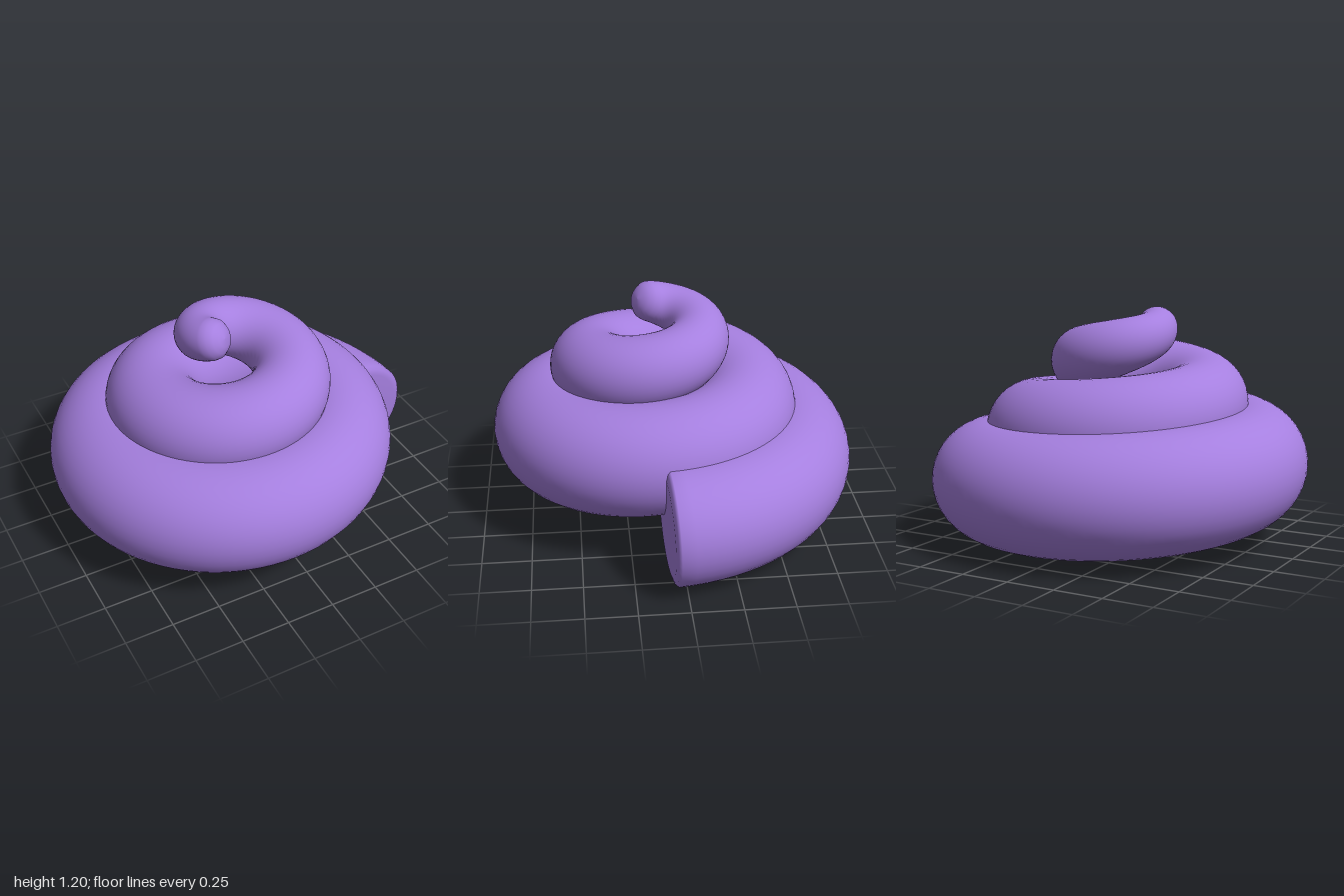
import * as THREE from 'three';

// Coil profile at each quarter turn: distance from the axis, height, tube radius
const QUARTERS = [
  [0.77, 0.30, 0.30], [0.705, 0.335, 0.30], [0.63, 0.40, 0.30], [0.575, 0.46, 0.29],
  [0.51, 0.53, 0.28], [0.445, 0.61, 0.26], [0.385, 0.70, 0.235], [0.345, 0.80, 0.21],
  [0.27, 0.90, 0.18], [0.20, 1.0, 0.145], [0.14, 1.085, 0.11], [0.09, 1.17, 0.09],
];
const AXIS_X = -0.07, AXIS_Z = 0.065;
const END = 10.2; // length of the coil in quarter turns
const STEPS = 220, SIDES = 40;

const profile = new THREE.CatmullRomCurve3(
  QUARTERS.map((p) => new THREE.Vector3(...p)), false, 'catmullrom', 0.5);

function sample(q) {
  const p = profile.getPoint(q / (QUARTERS.length - 1));
  const a = q * Math.PI / 2;
  return {
    centre: new THREE.Vector3(AXIS_X + p.x * Math.cos(a), p.y, AXIS_Z - p.x * Math.sin(a)),
    radius: p.z,
  };
}

function coilGeometry() {
  // Rings: position along the coil, push along the tangent, radius scale
  const rings = [[0, -0.025, 0.001], [0, -0.024, 0.45], [0, -0.022, 0.85], [0, -0.014, 0.95]];
  for (let i = 0; i <= STEPS; i++) rings.push([END * i / STEPS, 0, 1]);
  rings.push([END, 0.03, 0.92], [END, 0.055, 0.7], [END, 0.07, 0.4], [END, 0.075, 0.001]);

  const up = new THREE.Vector3(0, 1, 0);
  const positions = [], index = [];
  rings.forEach(([q, push, scale], i) => {
    const { centre, radius } = sample(q);
    const q0 = Math.max(0, q - 0.01);
    const tangent = sample(q0 + 0.02).centre.sub(sample(q0).centre).normalize();
    const side = new THREE.Vector3().crossVectors(tangent, up).normalize();
    const top = new THREE.Vector3().crossVectors(side, tangent);
    centre.addScaledVector(tangent, push);
    for (let j = 0; j < SIDES; j++) {
      const a = j / SIDES * Math.PI * 2;
      const v = centre.clone()
        .addScaledVector(side, Math.cos(a) * radius * scale)
        .addScaledVector(top, Math.sin(a) * radius * scale);
      positions.push(v.x, v.y, v.z);
      if (i < rings.length - 1) {
        const k = (j + 1) % SIDES, a0 = i * SIDES, b0 = a0 + SIDES;
        index.push(a0 + j, b0 + j, a0 + k, b0 + j, b0 + k, a0 + k);
      }
    }
  });
  const geometry = new THREE.BufferGeometry();
  geometry.setAttribute('position', new THREE.Float32BufferAttribute(positions, 3));
  geometry.setIndex(index);
  geometry.computeVertexNormals();
  return geometry;
}

export function createModel() {
  const group = new THREE.Group();
  group.name = 'spiralSwirl';
  const purple = new THREE.MeshStandardMaterial({ color: 0xa57fdf });
  purple.name = 'purple';

  // One tapering tube winding upwards to a rounded tip
  const coil = new THREE.Mesh(coilGeometry(), purple);
  coil.name = 'coil';
  group.add(coil);
  return group;
}
